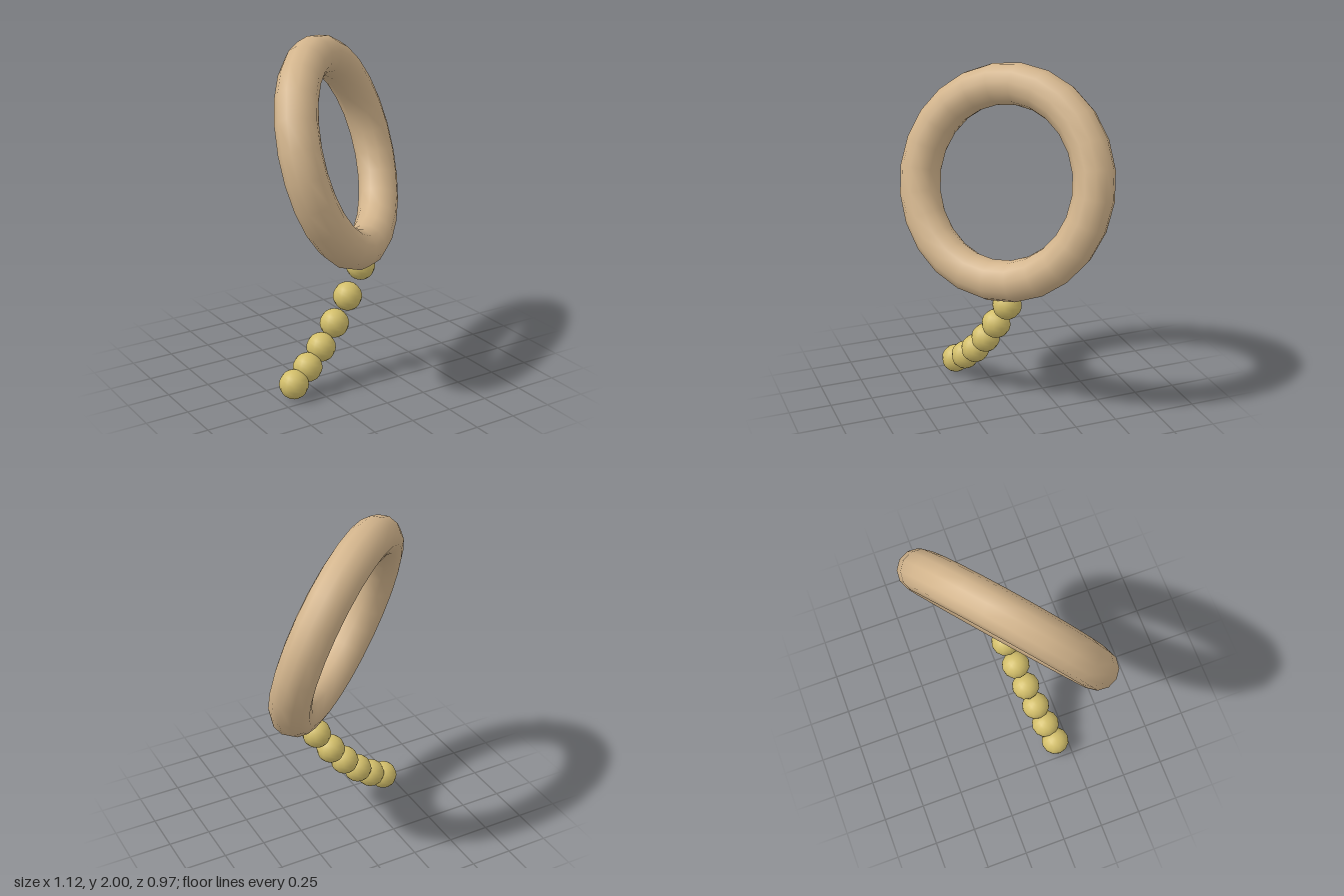
import * as THREE from 'three';

export function createModel() {
  const model = new THREE.Group();
  const tan = new THREE.MeshStandardMaterial({ color: 0xd2b48c });
  tan.name = 'tan';
  const gold = new THREE.MeshStandardMaterial({ color: 0xd2be6a });
  gold.name = 'gold';

  // Tilted ring
  const ring = new THREE.Mesh(new THREE.TorusGeometry(0.556, 0.118, 12, 24), tan);
  ring.name = 'ring';
  ring.position.set(0, 1.35, 0);
  ring.lookAt(0.608, 1.35 + 0.283, 0.741);
  model.add(ring);

  // Curved trail of beads, evenly spaced in x and z, levelling out as it falls
  const trail = new THREE.Group();
  trail.name = 'beadTrail';
  const beadGeometry = new THREE.SphereGeometry(0.085, 12, 12);
  const heights = [0.655, 0.495, 0.36, 0.245, 0.155, 0.086];
  heights.forEach((y, i) => {
    const bead = new THREE.Mesh(beadGeometry, gold);
    bead.name = `bead${i + 1}`;
    bead.position.set(0.124 - 0.107 * i, y, 0.029 + 0.027 * i);
    trail.add(bead);
  });
  model.add(trail);

  return model;
}
